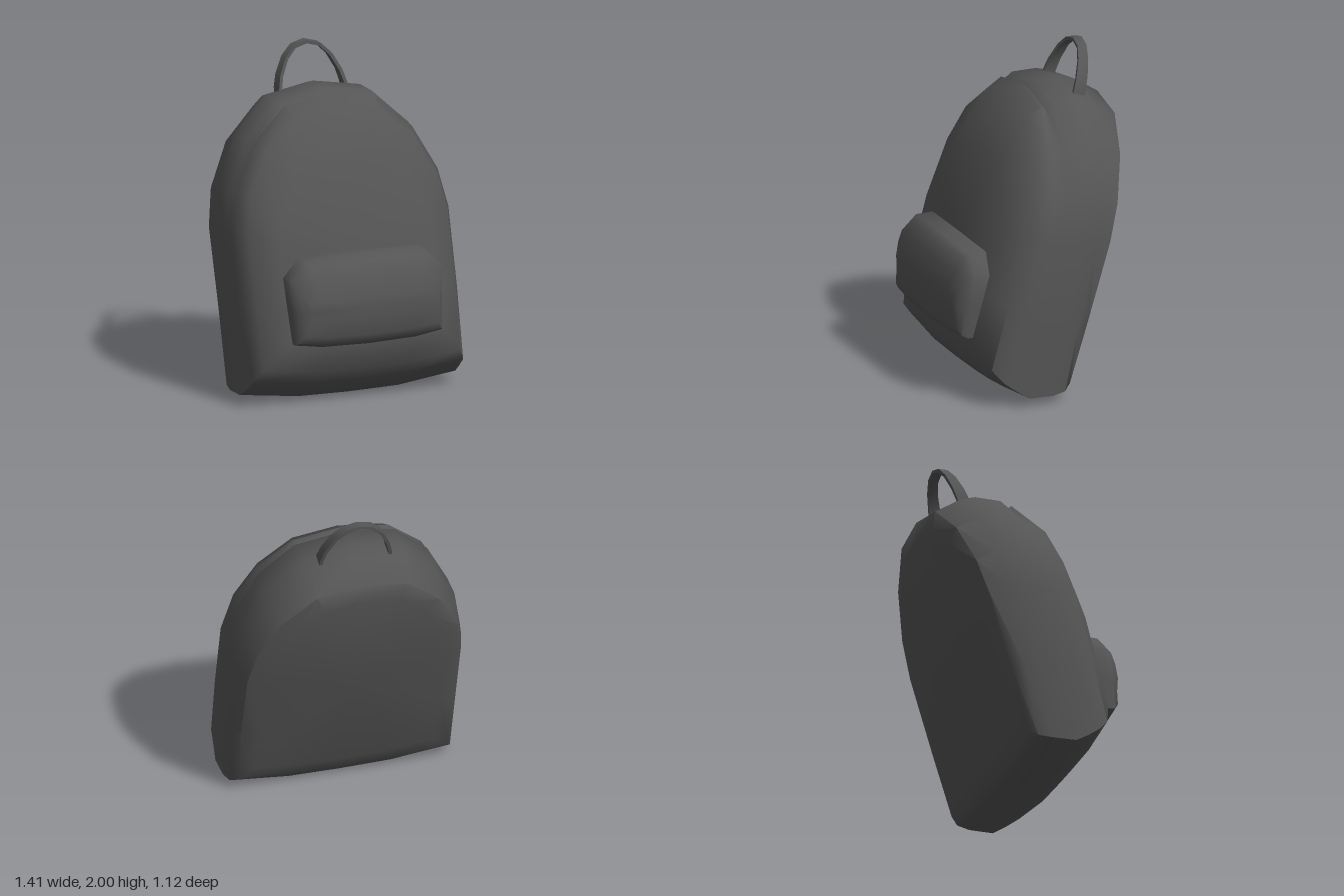
import * as THREE from 'three';
import { toCreasedNormals } from 'three/addons/utils/BufferGeometryUtils.js';

const LEAN = 0.31; // the bag leans back by this much per unit of height

// Closed outline, counter-clockwise from +z, from its right half (bottom centre to top centre)
function mirrorOutline(half) {
  const other = half.slice(1, -1).reverse().map(([x, y]) => [-x, y]);
  return [...half, ...other];
}

// Joins loops of equal length (back to front) and closes both ends with a fan
function skin(loops, crease) {
  const n = loops[0].length;
  const pos = loops.flat(2);
  const index = [];
  for (let r = 0; r < loops.length - 1; r++) {
    for (let i = 0; i < n; i++) {
      const j = (i + 1) % n;
      const a = r * n + i, b = r * n + j, c = b + n, d = a + n;
      index.push(a, b, c, a, c, d);
    }
  }
  [0, loops.length - 1].forEach((r) => {
    const centre = pos.length / 3;
    for (let k = 0; k < 3; k++) {
      pos.push(loops[r].reduce((sum, p) => sum + p[k], 0) / n);
    }
    for (let i = 0; i < n; i++) {
      const a = r * n + i, b = r * n + ((i + 1) % n);
      if (r === 0) index.push(centre, b, a);
      else index.push(centre, a, b);
    }
  });
  const geometry = new THREE.BufferGeometry();
  geometry.setAttribute('position', new THREE.Float32BufferAttribute(pos, 3));
  geometry.setIndex(index);
  return toCreasedNormals(geometry, crease);
}

// Leaning padded shape; each ring is [depth and inset at bottom, depth and inset at top, side inset]
function padded(half, rings) {
  const outline = mirrorOutline(half);
  const low = half[0][1];
  const high = half[half.length - 1][1];
  const wide = Math.max(...half.map((p) => p[0]));
  const loops = rings.map(([depthLow, inLow, depthHigh, inHigh, inSide]) =>
    outline.map(([x, y]) => {
      const t = (y - low) / (high - low);
      const newY = THREE.MathUtils.lerp(low + inLow, high - inHigh, t);
      const depth = THREE.MathUtils.lerp(depthLow, depthHigh, t);
      return [x * (1 - inSide / wide), newY, depth - LEAN * newY];
    }));
  return skin(loops, 1.0);
}

// Flat strap swept over an arch, narrowing and leaning back towards the top
function strap() {
  const half = [[0.225, 1.68], [0.22, 1.745], [0.2, 1.82], [0.15, 1.915], [0.085, 1.978], [0, 2]];
  const path = [...half, ...half.slice(0, -1).reverse().map(([x, y]) => [-x, y])];
  const thick = 0.02;
  const loops = path.map(([x, y], i) => {
    const p = path[Math.max(i - 1, 0)];
    const q = path[Math.min(i + 1, path.length - 1)];
    const tangent = new THREE.Vector2(q[0] - p[0], q[1] - p[1]).normalize();
    const ix = x - tangent.y * thick;
    const iy = y + tangent.x * thick;
    const front = -0.3 - 0.37 * (y - 1.73);
    const back = -0.38 - 0.28 * (y - 1.73);
    return [[x, y, front], [x, y, back], [ix, iy, back], [ix, iy, front]];
  });
  return skin(loops, 0.7);
}

export function createModel() {
  const group = new THREE.Group();
  const cloth = new THREE.MeshStandardMaterial({ color: 0x555555 });
  const add = (name, geometry) => {
    const mesh = new THREE.Mesh(geometry, cloth);
    mesh.name = name;
    group.add(mesh);
  };

  // Arched main bag with a shallow seam groove near the front of the top
  add('mainBag', padded(
    [[0, 0], [0.32, 0.005], [0.695, 0.05], [0.705, 0.5], [0.705, 1],
      [0.66, 1.24], [0.52, 1.52], [0.3, 1.725], [0, 1.775]],
    [
      [-0.077, 0.14, -0.086, 0.245, 0.15],
      [-0.06, 0.05, -0.047, 0.13, 0.05],
      [-0.03, 0.01, 0.139, 0.03, 0.02],
      [0.05, 0, 0.239, 0, 0.003],
      [0.2, 0.005, 0.4, 0, 0],
      [0.3, 0.06, 0.435, 0.04, 0.012],
      [0.397, 0.12, 0.464, 0.02, 0.02],
      [0.482, 0.2, 0.547, 0.075, 0.065],
      [0.585, 0.37, 0.634, 0.375, 0.2],
    ]));

  // Padded pocket low on the front
  add('frontPocket', padded(
    [[0, 0.37], [0.3, 0.378], [0.475, 0.405], [0.485, 0.6], [0.492, 0.785],
      [0.38, 0.893], [0, 0.895]],
    [
      [0.5, 0, 0.58, 0, 0],
      [0.61, 0, 0.717, 0, 0],
      [0.65, 0.02, 0.75, 0.025, 0.02],
      [0.69, 0.07, 0.766, 0.105, 0.05],
      [0.735, 0.19, 0.768, 0.225, 0.09],
    ]));

  // Carry loop on top
  add('carryHandle', strap());

  return group;
}
